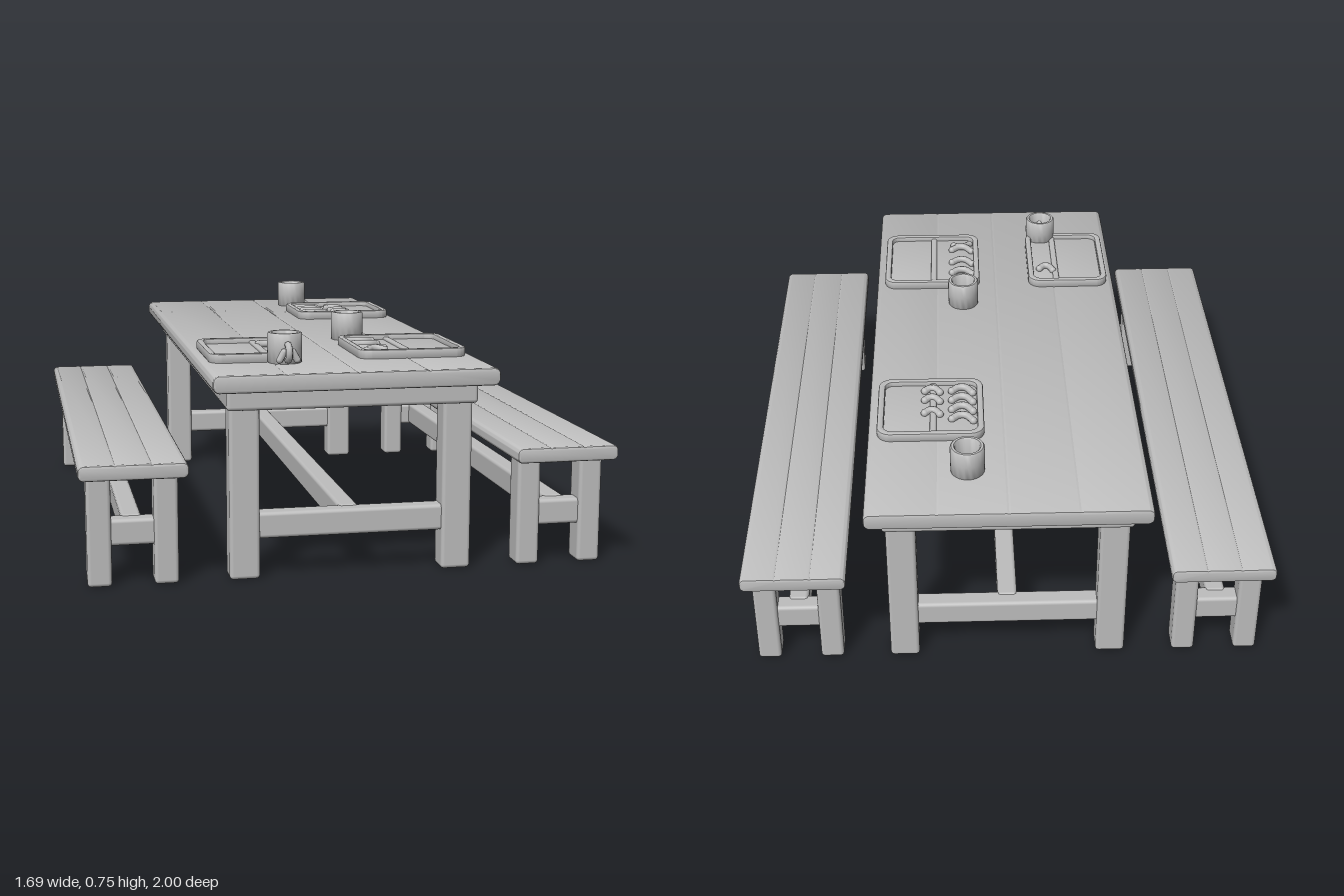
import * as THREE from 'three';
import { toCreasedNormals } from 'three/addons/utils/BufferGeometryUtils.js';
import { RoundedBoxGeometry } from 'three/addons/geometries/RoundedBoxGeometry.js';

const grey = new THREE.MeshStandardMaterial({ color: 0xbdbdbd });
grey.name = 'plain grey';

function add(parent, name, geometry, x = 0, y = 0, z = 0) {
  const mesh = new THREE.Mesh(geometry, grey);
  mesh.name = name;
  mesh.position.set(x, y, z);
  parent.add(mesh);
  return mesh;
}

function group(parent, name, x = 0, y = 0, z = 0) {
  const g = new THREE.Group();
  g.name = name;
  g.position.set(x, y, z);
  parent.add(g);
  return g;
}

// Softened beam given by its extents on each axis
function beam(parent, name, [x0, x1], [y0, y1], [z0, z1], r = 0.012) {
  const g = new RoundedBoxGeometry(x1 - x0, y1 - y0, z1 - z0, 2, r);
  return add(parent, name, g, (x0 + x1) / 2, (y0 + y1) / 2, (z0 + z1) / 2);
}

function roundedRect(w, h, r, Type = THREE.Shape) {
  const s = new Type(), a = w / 2, b = h / 2;
  s.absarc(a - r, b - r, r, 0, Math.PI / 2);
  s.absarc(-a + r, b - r, r, Math.PI / 2, Math.PI);
  s.absarc(-a + r, -b + r, r, Math.PI, Math.PI * 1.5);
  s.absarc(a - r, -b + r, r, Math.PI * 1.5, Math.PI * 2);
  return s;
}

// Plank slab: rounded cross-section with shallow seams on top, run along z
function plankSlab(width, height, length, seams) {
  const s = new THREE.Shape(), a = width / 2, b = height / 2, r = b * 0.75;
  s.absarc(a - r, b - r, r, 0, Math.PI / 2);
  for (const x of [...seams].sort((p, q) => q - p)) {
    s.lineTo(x + 0.006, b);
    s.lineTo(x, b - 0.002);
    s.lineTo(x - 0.006, b);
  }
  s.absarc(-a + r, b - r, r, Math.PI / 2, Math.PI);
  s.absarc(-a + r, -b + r, r, Math.PI, Math.PI * 1.5);
  s.absarc(a - r, -b + r, r, Math.PI * 1.5, Math.PI * 2);
  const bevel = 0.008;
  const g = new THREE.ExtrudeGeometry(s, {
    depth: length - 2 * bevel, curveSegments: 5,
    bevelThickness: bevel, bevelSize: bevel, bevelOffset: -bevel, bevelSegments: 2,
  });
  g.translate(0, 0, -length / 2 + bevel);
  return toCreasedNormals(g, 0.6);
}

// Four legs, end rails and a central long stretcher
function trestle(parent, inner, outer, legTop) {
  for (const sz of [-1, 1]) {
    const zs = sz > 0 ? [0.825, 0.91] : [-0.91, -0.825];
    beam(parent, 'leg', [inner, outer], [0, legTop], zs);
    beam(parent, 'leg', [-outer, -inner], [0, legTop], zs);
    beam(parent, 'endRail', [-inner - 0.02, inner + 0.02], [0.125, 0.208], [sz * 0.868 - 0.032, sz * 0.868 + 0.032]);
  }
  beam(parent, 'longStretcher', [-0.032, 0.032], [0.127, 0.212], [-0.86, 0.86]);
}

function buildTable(root) {
  const table = group(root, 'table');
  add(table, 'tableTop', plankSlab(0.89, 0.055, 2, [-0.22, 0, 0.22]), 0, 0.6275, 0);
  trestle(table, 0.29, 0.385, 0.59);
  for (const s of [-1, 1]) {
    const span = (a, b) => (s > 0 ? [a, b] : [-b, -a]);
    beam(table, 'sideApron', span(0.335, 0.395), [0.535, 0.61], [-0.935, 0.935]);
    beam(table, 'endApron', [-0.39, 0.39], [0.535, 0.61], span(0.875, 0.935));
  }
}

function buildBench(root, name, x) {
  const bench = group(root, name, x);
  add(bench, 'seat', plankSlab(0.332, 0.048, 1.96, [-0.055, 0.055]), 0, 0.37, 0);
  trestle(bench, 0.065, 0.14, 0.36);
}

// Shallow tray: floor, raised rim and divider
function buildTray(root, x0, x1, z0, z1, dividerX) {
  const w = x1 - x0, d = z1 - z0, cx = (x0 + x1) / 2;
  const tray = group(root, 'tray', cx, 0.652, (z0 + z1) / 2);
  const lay = (shape, depth, bevel) => {
    const g = new THREE.ExtrudeGeometry(shape, {
      depth: depth - 2 * bevel, curveSegments: 6,
      bevelThickness: bevel, bevelSize: bevel, bevelOffset: -bevel, bevelSegments: 2,
    });
    g.translate(0, 0, bevel);
    g.rotateX(-Math.PI / 2);
    return toCreasedNormals(g, 0.7);
  };
  const rim = roundedRect(w, d, 0.045);
  rim.holes.push(roundedRect(w - 0.044, d - 0.044, 0.028, THREE.Path));
  add(tray, 'trayRim', lay(rim, 0.032, 0.006));
  add(tray, 'trayFloor', lay(roundedRect(w - 0.02, d - 0.02, 0.035), 0.015, 0.003));
  add(tray, 'trayDivider', new RoundedBoxGeometry(0.022, 0.02, d - 0.035, 2, 0.007), dividerX - cx, 0.014, 0);
}

// Curved morsel of food lying across the tray
function morsel(root, x, z, length, bend = 0.018, r = 0.012) {
  const curve = new THREE.CatmullRomCurve3([
    new THREE.Vector3(-length / 2, 0, -bend),
    new THREE.Vector3(-length / 6, 0.004, bend * 0.5),
    new THREE.Vector3(length / 6, 0.004, bend * 0.6),
    new THREE.Vector3(length / 2, 0, -bend * 0.3),
  ]);
  const food = group(root, 'food', x, 0.673, z);
  add(food, 'foodBody', new THREE.TubeGeometry(curve, 12, r, 8));
  for (const t of [0, 1]) {
    const p = curve.getPoint(t);
    add(food, 'foodTip', new THREE.SphereGeometry(r * 1.1, 10, 8), p.x, p.y, p.z);
  }
}

function buildCup(root, x, z) {
  const profile = [[0, 0], [0.051, 0], [0.054, 0.004], [0.055, 0.05], [0.055, 0.092], [0.051, 0.097],
    [0.043, 0.097], [0.039, 0.092], [0.037, 0.02], [0, 0.018]];
  const g = new THREE.LatheGeometry(profile.map(([r, y]) => new THREE.Vector2(r, y)), 32);
  const cup = group(root, 'cup', x, 0.653, z);
  add(cup, 'cupBody', toCreasedNormals(g, 0.8));
  return cup;
}

export function createModel() {
  const root = new THREE.Group();
  root.name = 'diningSet';
  buildTable(root);
  buildBench(root, 'leftBench', 0.679);
  buildBench(root, 'rightBench', -0.682);

  buildTray(root, 0.065, 0.415, -0.615, -0.285, 0.232);
  buildTray(root, 0.06, 0.415, 0.375, 0.755, 0.232);
  buildTray(root, -0.42, -0.125, 0.375, 0.755, -0.23);

  // Servings on the trays
  for (const z of [-0.51, -0.455, -0.4, -0.345]) morsel(root, 0.135, z, 0.07);
  for (const z of [-0.475, -0.4, -0.345]) morsel(root, 0.235, z, 0.05, 0.012);
  for (const z of [0.47, 0.55, 0.65]) morsel(root, 0.125, z, 0.075);
  morsel(root, 0.125, 0.675, 0.06, -0.015);
  morsel(root, -0.195, 0.49, 0.05);

  buildCup(root, 0.123, -0.775);
  buildCup(root, 0.123, 0.27);

  // Cup with a looped handle and two small tails
  const cup = buildCup(root, -0.185, 0.755);
  const handle = add(cup, 'cupHandle', new THREE.TorusGeometry(0.024, 0.011, 8, 20), 0, 0.04, 0.06);
  handle.rotation.y = Math.PI / 2;
  for (const s of [-1, 1]) {
    const tail = add(cup, 'handleTail', new THREE.CapsuleGeometry(0.011, 0.028, 4, 10), s * 0.021, 0.03, 0.066);
    tail.rotation.z = s * 0.5;
  }
  return root;
}
